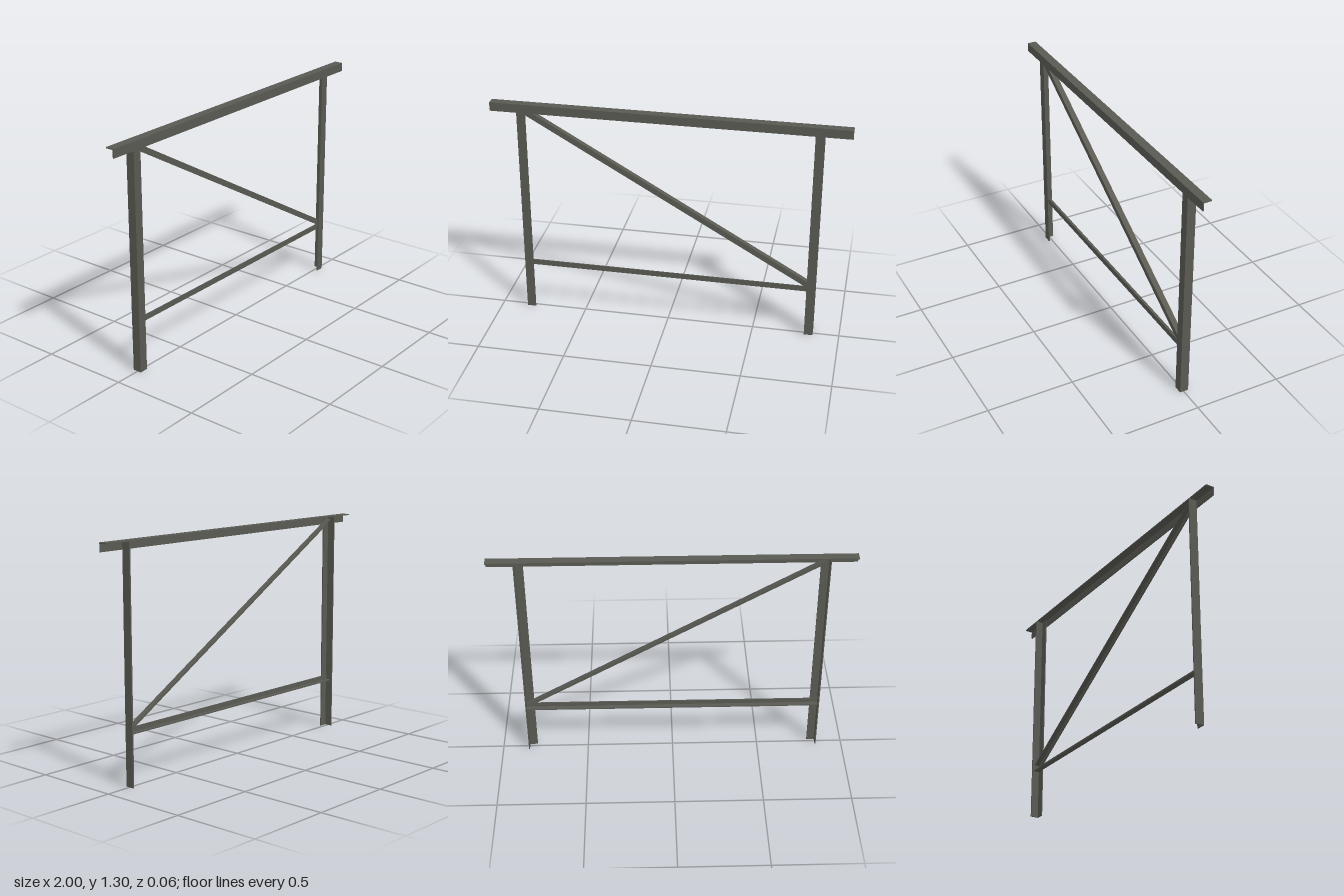
import * as THREE from 'three';

const T = 0.006; // steel thickness
const material = new THREE.MeshStandardMaterial({ color: 0x5a5a53 });

// L-section bar centred on its length. `corner` is the outer edge's midpoint;
// the two flanges run from it along the unit vectors u and v.
function angleBar(name, width, length, corner, u, v) {
  const shape = new THREE.Shape([
    [0, 0], [width, 0], [width, T], [T, T], [T, width], [0, width],
  ].map(([x, y]) => new THREE.Vector2(x, y)));
  const geometry = new THREE.ExtrudeGeometry(shape, { depth: length, bevelEnabled: false });
  geometry.translate(0, 0, -length / 2);
  const axis = new THREE.Vector3().crossVectors(u, v);
  geometry.applyMatrix4(new THREE.Matrix4().makeBasis(u, v, axis).setPosition(corner));
  const mesh = new THREE.Mesh(geometry, material);
  mesh.name = name;
  return mesh;
}

export function createModel() {
  const group = new THREE.Group();
  group.name = 'angleIronFrame';
  const vec = (x, y, z) => new THREE.Vector3(x, y, z);
  const back = vec(0, 0, -1);
  const legTop = 1.296, legFront = 0.022, braceFront = legFront - T, braceWidth = 0.032;

  // Top rail: flanges down the front and back over the legs
  group.add(angleBar('topRail', 0.05, 2, vec(0, legTop + T, legFront + T), vec(0, -1, 0), back));

  // Legs: mirrored, with the side flange on the outside
  for (const s of [-1, 1]) {
    group.add(angleBar(s > 0 ? 'leftLeg' : 'rightLeg', 0.05, legTop,
      vec(s * 0.85, legTop / 2, legFront), vec(-s, 0, 0), back));
  }

  // Lower crossbar: ledge along its bottom edge
  group.add(angleBar('lowerCrossbar', braceWidth, 2 * (0.85 - T),
    vec(0, 0.286, braceFront), vec(0, 1, 0), back));

  // Diagonal brace: ledge along its upper edge
  const tilt = Math.PI / 6;
  const normal = vec(Math.sin(tilt), Math.cos(tilt), 0);
  const corner = vec(0, 0.791, braceFront).addScaledVector(normal, braceWidth / 2);
  group.add(angleBar('diagonalBrace', braceWidth, 1.66 / Math.cos(tilt),
    corner, normal.clone().negate(), back));

  return group;
}
